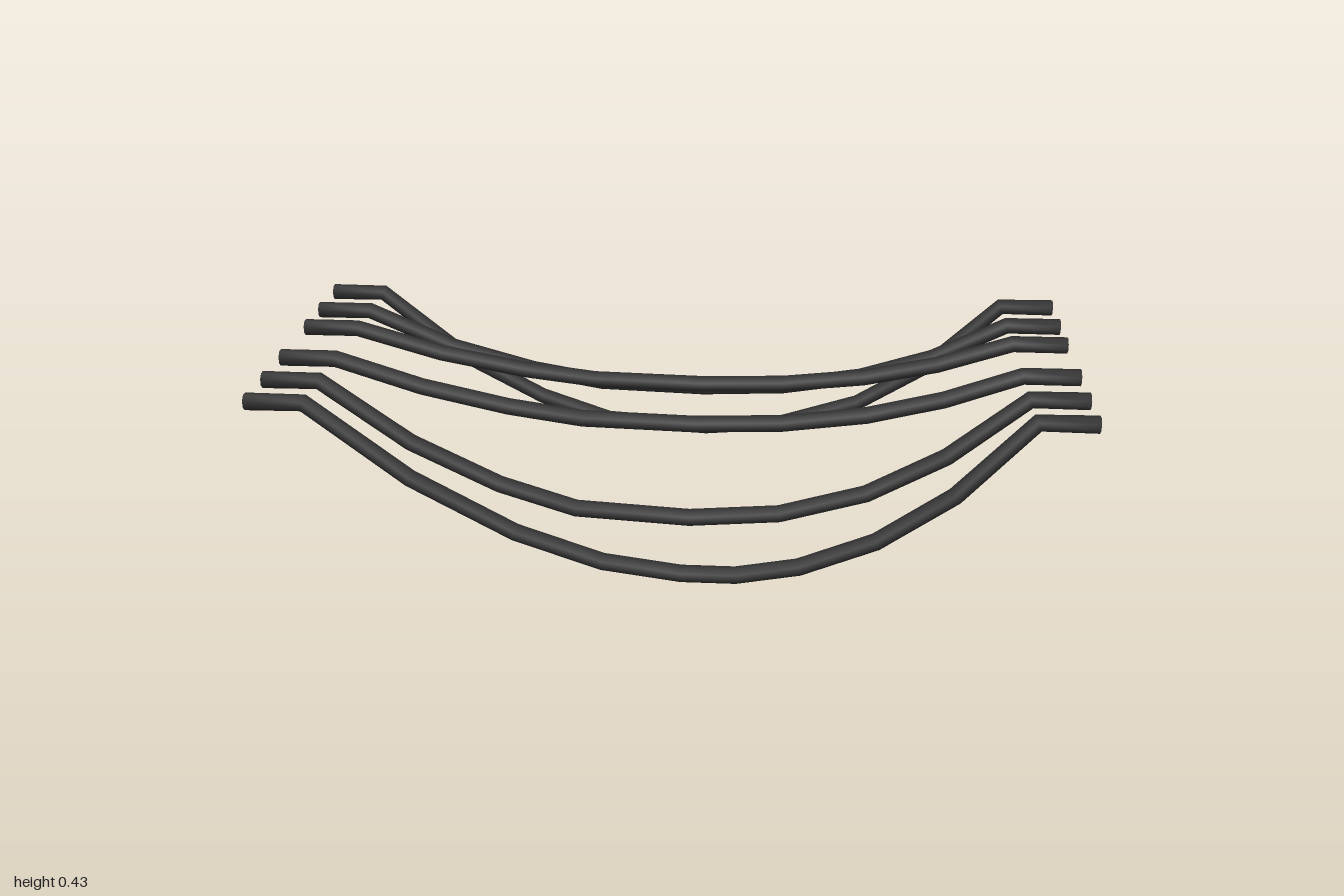
import * as THREE from 'three';

const SIDES = 8, RADIUS = 0.021, END_Y = 0.416;

// Sag profiles between the clamped ends: [x, share of full drop]
const CENTRED = [
  [-0.64, 0.475], [-0.42, 0.785], [-0.23, 0.955], [0.05, 1],
  [0.27, 0.95], [0.48, 0.775], [0.67, 0.47],
];
const OFFSET = [
  [-0.61, 0.45], [-0.36, 0.77], [-0.15, 0.94], [0.04, 1],
  [0.17, 1], [0.32, 0.935], [0.5, 0.76], [0.68, 0.46],
];

// Each cable: z at the ends, z at the middle, y at the middle, curve of the sideways bow
const CABLES = [
  { name: 'frontOuterCable', profile: OFFSET, endZ: 0.4, midZ: 0.447, midY: 0.02, bow: 1 },
  { name: 'frontMiddleCable', profile: CENTRED, endZ: 0.258, midZ: 0.299, midY: 0.097, bow: 1.7 },
  { name: 'frontInnerCable', profile: CENTRED, endZ: 0.104, midZ: 0.137, midY: 0.278, bow: 1.7 },
  { name: 'backInnerCable', profile: CENTRED, endZ: -0.125, midZ: -0.14, midY: 0.277, bow: 1 },
  { name: 'backMiddleCable', profile: CENTRED, endZ: -0.267, midZ: -0.295, midY: 0.207, bow: 1.7 },
  { name: 'backOuterCable', profile: CENTRED, endZ: -0.423, midZ: -0.446, midY: 0.025, bow: 1 },
];

// Octagonal sweep along straight segments, mitred at every bend, with closed ends
function sweep(points) {
  const positions = [], index = [], last = points.length - 1;
  points.forEach((p, i) => {
    const before = p.clone().sub(points[Math.max(i - 1, 0)]).normalize();
    const after = points[Math.min(i + 1, last)].clone().sub(p).normalize();
    const tangent = before.add(after).normalize();
    const side = tangent.clone().cross(new THREE.Vector3(0, 1, 0)).normalize();
    const up = side.clone().cross(tangent);
    for (let j = 0; j < SIDES; j++) {
      const a = ((j + 0.5) / SIDES) * Math.PI * 2;
      const v = p.clone()
        .addScaledVector(side, Math.cos(a) * RADIUS)
        .addScaledVector(up, Math.sin(a) * RADIUS);
      positions.push(v.x, v.y, v.z);
    }
  });
  for (let i = 0; i < last; i++) {
    for (let j = 0; j < SIDES; j++) {
      const a = i * SIDES + j, b = i * SIDES + ((j + 1) % SIDES);
      index.push(a, a + SIDES, b, b, a + SIDES, b + SIDES);
    }
  }
  // End caps
  const e = last * SIDES;
  for (let j = 1; j < SIDES - 1; j++) {
    index.push(0, j, j + 1, e, e + j + 1, e + j);
  }
  const geometry = new THREE.BufferGeometry();
  geometry.setAttribute('position', new THREE.Float32BufferAttribute(positions, 3));
  geometry.setIndex(index);
  geometry.computeVertexNormals();
  return geometry;
}

export function createModel() {
  const model = new THREE.Group();
  model.name = 'hangingCables';
  const material = new THREE.MeshStandardMaterial({ color: 0x333333 });

  for (const { name, profile, endZ, midZ, midY, bow } of CABLES) {
    // Level stubs at both ends, sagging span between them
    const path = [[-1, 0], [-0.86, 0], ...profile, [0.86, 0], [1, 0]];
    const points = path.map(([x, drop]) => new THREE.Vector3(
      x,
      THREE.MathUtils.lerp(END_Y, midY, drop),
      THREE.MathUtils.lerp(endZ, midZ, Math.pow(drop, bow)),
    ));
    const cable = new THREE.Mesh(sweep(points), material);
    cable.name = name;
    model.add(cable);
  }
  return model;
}
